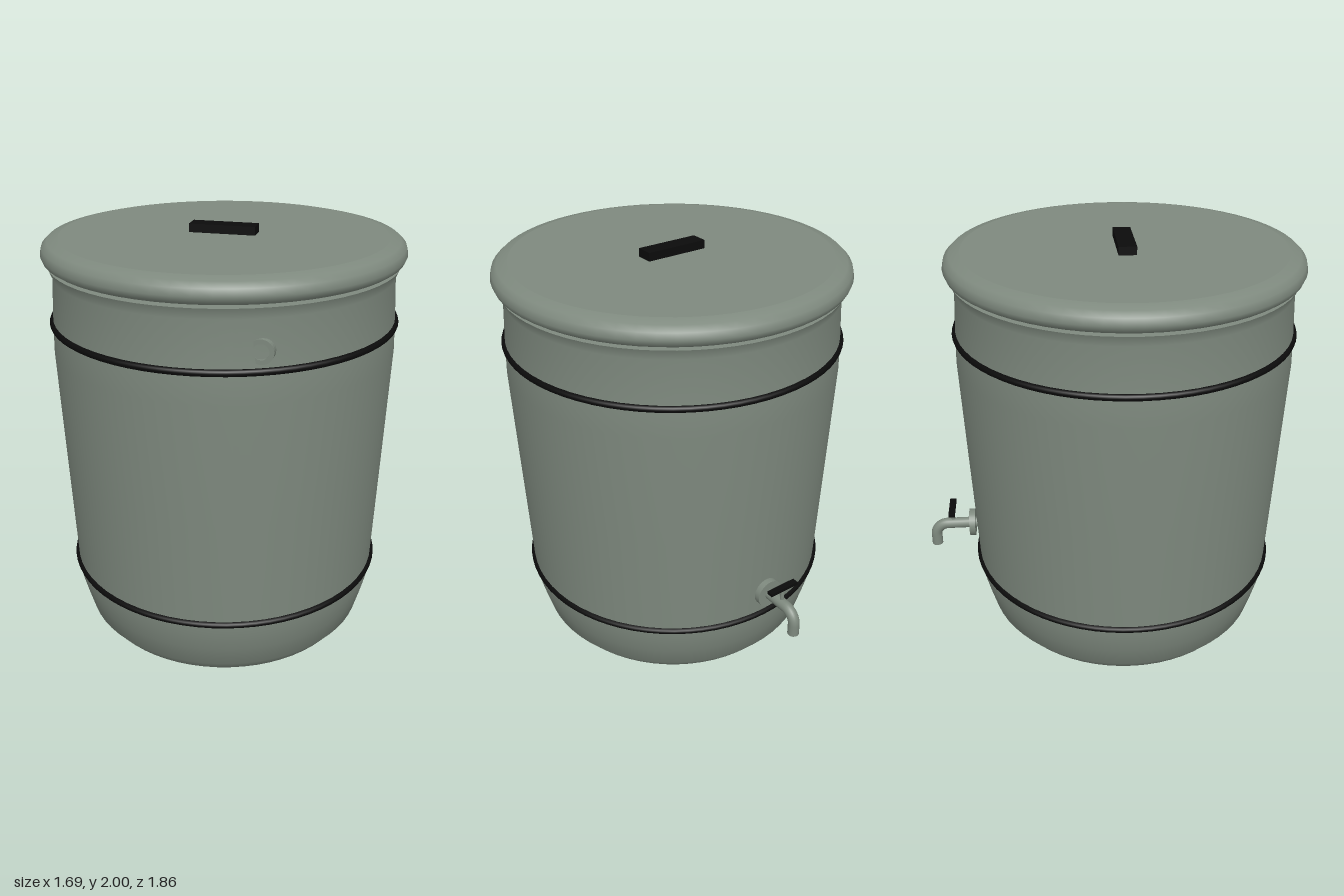
import * as THREE from 'three';

const AXIS_Z = 0.086; // the barrel axis sits forward of the origin, the tap is behind

export function createModel() {
  const model = new THREE.Group();
  model.name = 'waterButt';
  const green = new THREE.MeshStandardMaterial({ color: 0x7e897e, side: THREE.DoubleSide });
  green.name = 'greyGreenPlastic';
  const black = new THREE.MeshStandardMaterial({ color: 0x0b0b0b });
  black.name = 'blackPlastic';

  const add = (name, geometry, material, x, y, z) => {
    const mesh = new THREE.Mesh(geometry, material);
    mesh.name = name;
    mesh.position.set(x, y, z);
    model.add(mesh);
    return mesh;
  };
  const lathe = (points, segments) =>
    new THREE.LatheGeometry(points.map(([r, y]) => new THREE.Vector2(r, y)), segments);

  // Barrel: rounded foot, gently widening wall, flared rim
  add('barrelWall', lathe([
    [0.655, 0], [0.705, 0.06], [0.735, 0.165], [0.757, 0.25], [0.762, 0.33], [0.785, 0.85],
    [0.81, 1.43], [0.806, 1.57], [0.795, 1.79], [0.815, 1.84],
  ], 64), green, 0, 0, AXIS_Z);
  add('barrelBase', new THREE.CircleGeometry(0.655, 64), green, 0, 0, AXIS_Z).rotation.x = Math.PI / 2;
  add('barrelTop', new THREE.CircleGeometry(0.815, 64), green, 0, 1.84, AXIS_Z).rotation.x = -Math.PI / 2;

  // Lid with rounded edge, and its handle
  add('lidRim', lathe([
    [0.815, 1.855], [0.833, 1.867], [0.843, 1.892], [0.835, 1.925], [0.81, 1.948], [0.76, 1.96],
  ], 64), green, 0, 0, AXIS_Z);
  add('lidTop', new THREE.CircleGeometry(0.76, 64), green, 0, 1.96, AXIS_Z).rotation.x = -Math.PI / 2;
  add('lidUnderside', new THREE.CircleGeometry(0.815, 64), green, 0, 1.855, AXIS_Z).rotation.x = Math.PI / 2;
  add('lidHandle', new THREE.BoxGeometry(0.312, 0.045, 0.084), black, 0, 1.9775, AXIS_Z);

  // Hoops
  for (const [name, radius, y] of [['upperHoop', 0.806, 1.57], ['lowerHoop', 0.762, 0.323]]) {
    add(name, new THREE.TorusGeometry(radius, 0.016, 10, 72), black, 0, y, AXIS_Z).rotation.x = Math.PI / 2;
  }

  // Overflow: short hollow pipe stub, half sunk in the wall
  const ring = new THREE.Shape().absarc(0, 0, 0.054, 0, Math.PI * 2);
  ring.holes.push(new THREE.Path().absarc(0, 0, 0.034, 0, Math.PI * 2));
  add('overflowPipe', new THREE.ExtrudeGeometry(ring, { depth: 0.08, bevelEnabled: false, curveSegments: 16 }),
    green, 0.34, 1.656, 0.744);

  // Tap: flange, bent spout, stem and lever
  add('tapFlange', new THREE.CylinderGeometry(0.07, 0.07, 0.03, 28), green, 0, 0.468, -0.709)
    .rotation.x = Math.PI / 2;
  const spout = new THREE.CurvePath();
  const v = (y, z) => new THREE.Vector3(0, y, z);
  spout.add(new THREE.LineCurve3(v(0.468, -0.66), v(0.468, -0.84)));
  spout.add(new THREE.CubicBezierCurve3(v(0.468, -0.84), v(0.468, -0.875), v(0.44, -0.903), v(0.405, -0.903)));
  spout.add(new THREE.LineCurve3(v(0.405, -0.903), v(0.348, -0.903)));
  add('tapSpout', new THREE.TubeGeometry(spout, 40, 0.028, 16), green, 0, 0, 0);
  add('spoutMouth', new THREE.RingGeometry(0.018, 0.028, 16), green, 0, 0.348, -0.903).rotation.x = Math.PI / 2;
  add('tapStem', new THREE.CylinderGeometry(0.01, 0.01, 0.08, 12), green, 0, 0.518, -0.81);
  add('tapLever', new THREE.BoxGeometry(0.16, 0.016, 0.032), black, 0, 0.561, -0.81);

  return model;
}
